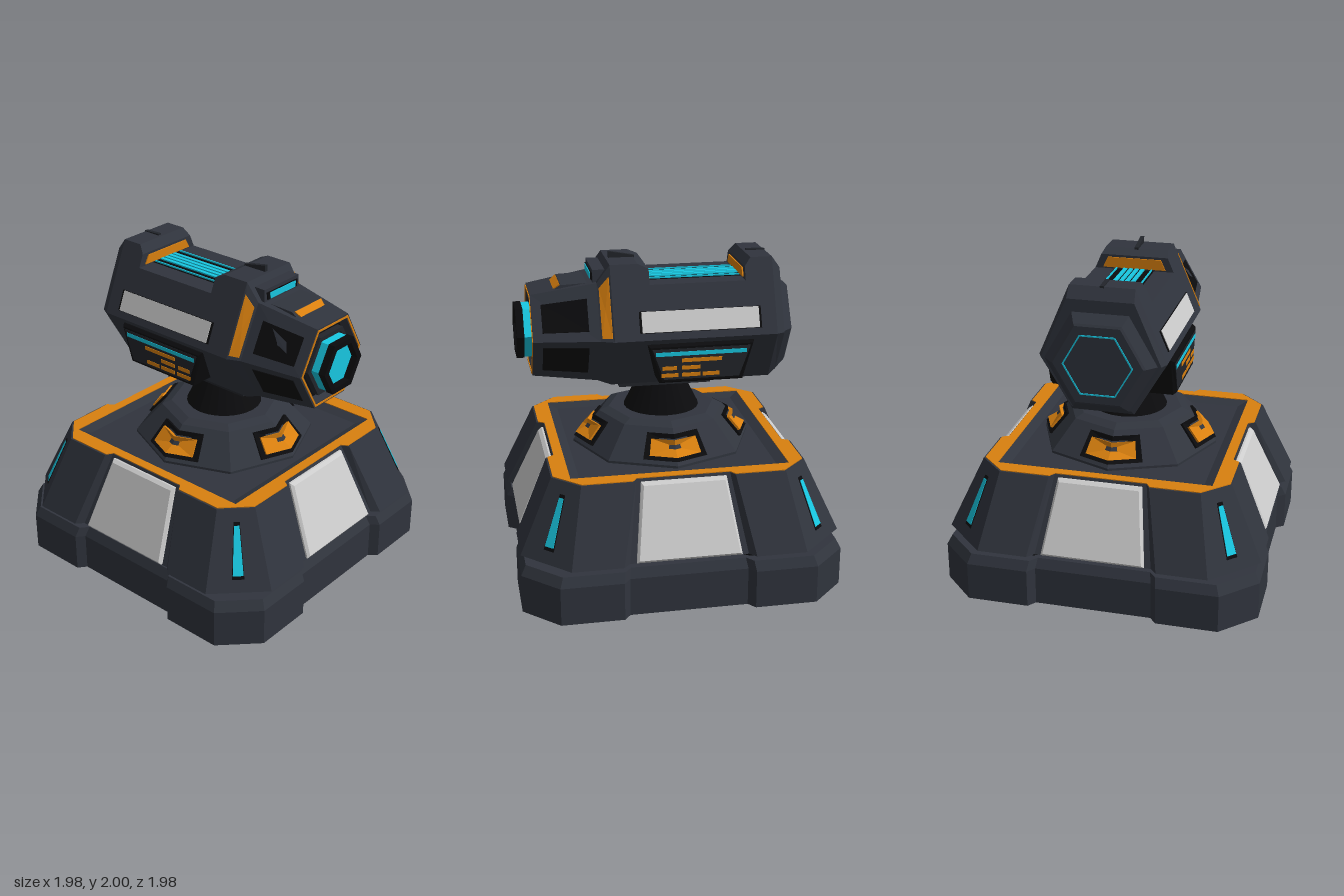
import * as THREE from 'three';

const V = (x, y, z) => new THREE.Vector3(x, y, z);
const mat = (color) => new THREE.MeshStandardMaterial({ color, flatShading: true });
const M = {
  hull: mat(0x30343d), dark: mat(0x22252b), black: mat(0x0b0b0d),
  orange: mat(0xd9800f), cyan: mat(0x18c8e2), grey: mat(0xcccccc),
};

export function createModel() {
  const model = new THREE.Group();
  const base = new THREE.Group(), turret = new THREE.Group();
  base.name = 'base';
  turret.name = 'turret';
  model.add(base, turret);
  let group = base;

  const add = (name, geo, material) => {
    const mesh = new THREE.Mesh(geo, material);
    mesh.name = name;
    group.add(mesh);
    return mesh;
  };

  // Skin a list of equal-length rings, facing outward, with optional end caps
  function loft(name, rings, material, caps = true) {
    const tris = [], n = rings[0].length;
    for (let k = 0; k < rings.length - 1; k++) {
      const a = rings[k], b = rings[k + 1];
      for (let i = 0; i < n; i++) {
        const j = (i + 1) % n;
        tris.push([a[i], a[j], b[j]], [a[i], b[j], b[i]]);
      }
    }
    if (caps) [rings[0], rings[rings.length - 1]].forEach((r, end) => {
      const c = centre(r);
      r.forEach((p, i) => {
        const q = r[(i + 1) % n];
        tris.push(end ? [c, p, q] : [c, q, p]);
      });
    });
    const volume = tris.reduce((s, [a, b, c]) => s + a.dot(b.clone().cross(c)), 0);
    if (volume < 0) tris.forEach((t) => t.reverse());
    const geo = new THREE.BufferGeometry().setFromPoints(tris.flat());
    geo.computeVertexNormals();
    return add(name, geo, material);
  }
  const centre = (r) => r.reduce((s, p) => s.add(p), V(0, 0, 0)).divideScalar(r.length);

  // Flat plate on a surface, raised by t towards the "out" side
  function plate(name, pts, out, material, t = 0.01, sink = 0.01) {
    const n = pts[1].clone().sub(pts[0]).cross(pts[2].clone().sub(pts[0])).normalize();
    if (n.dot(out) < 0) n.negate();
    const shift = (d) => pts.map((p) => p.clone().addScaledVector(n, d));
    return loft(name, [shift(-sink), shift(t)], material);
  }
  // Coloured plate with a black surround
  function framed(name, pts, out, material, grow = 0.02, t = 0.012) {
    const c = centre(pts);
    const big = pts.map((p) => p.clone().add(p.clone().sub(c).normalize().multiplyScalar(grow)));
    plate(name + 'Frame', big, out, M.black, t * 0.6);
    plate(name, pts, out, material, t);
  }
  const box = (name, x, y0, y1, z0, z1, material) =>
    add(name, new THREE.BoxGeometry(2 * x, y1 - y0, z1 - z0), material)
      .position.set(0, (y0 + y1) / 2, (z0 + z1) / 2);
  const spin = (pts, k) => pts.map((p) => p.clone().applyAxisAngle(V(0, 1, 0), k * Math.PI / 2));

  // ---- Base: square outline with cut corners and a notch in each side
  const outline = (y, h, c, w1, w2, r) => [0, 1, 2, 3].flatMap((k) =>
    spin([[-c, h], [-w1, h], [-w2, r], [w2, r], [w1, h], [c, h]].map(([x, z]) => V(x, y, z)), k));
  const square = (y, h) => outline(y, h, h, 0.31, 0.285, h);

  loft('foundation', [
    outline(0, 0.99, 0.78, 0.4, 0.36, 0.94), outline(0.24, 0.99, 0.78, 0.4, 0.36, 0.94),
    outline(0.3, 0.96, 0.76, 0.39, 0.35, 0.91)], M.hull);
  loft('seam', [outline(0.28, 0.89, 0.68, 0.38, 0.34, 0.86), outline(0.36, 0.89, 0.68, 0.38, 0.34, 0.86)], M.black);
  loft('slopedArmour', [
    outline(0.34, 0.985, 0.71, 0.4, 0.36, 0.94), outline(0.79, 0.78, 0.62, 0.31, 0.285, 0.735),
    square(0.79, 0.67), square(0.765, 0.61)], M.hull);
  const rim = (y) => outline(y, 0.77, 0.615, 0.31, 0.285, 0.73);
  loft('deckBorder', [rim(0.78), rim(0.795), square(0.795, 0.67), square(0.78, 0.67), rim(0.78)], M.orange, false);

  const out45 = V(1, 0.6, 1);
  for (let k = 0; k < 4; k++) {
    // Bevelled side panel
    const panel = (x0, x1, y0, y1, d) => spin([[-x0, y0], [x0, y0], [x1, y1], [-x1, y1]]
      .map(([x, y]) => V(x, y, 0.94 - (y - 0.34) * 0.456 + d)), k);
    loft('sidePanel', [panel(0.32, 0.26, 0.345, 0.775, -0.01), panel(0.32, 0.26, 0.345, 0.775, 0.012),
      panel(0.305, 0.247, 0.36, 0.76, 0.028)], M.grey);
    // Tapered corner light
    const light = [[-0.032, 0.43], [0.032, 0.43], [0.016, 0.7], [-0.016, 0.7]].map(([w, y]) => {
      const d = 0.8475 - (y - 0.34) * 0.328;
      return V(d + w * 0.707, y, d - w * 0.707);
    });
    framed('cornerLight', spin(light, k), spin([out45], k)[0], M.cyan, 0.022, 0.008);
  }

  // ---- Eight-sided turntable with folded pads over four of its corners
  const octagon = (y, r) => Array.from({ length: 8 }, (_, i) =>
    V(r * Math.sin(i * Math.PI / 4), y, r * Math.cos(i * Math.PI / 4)));
  loft('turntable', [octagon(0.75, 0.57), octagon(0.78, 0.57), octagon(0.965, 0.4), octagon(0.99, 0.34)], M.hull);
  const foldedPad = (name, k, y0, y1, s, t, material) => {
    const ring = (d) => spin([[-s, y0], [0, y0], [s, y0], [s, y1], [0, y1], [-s, y1]].map(([f, y]) => {
      const r = 0.57 - (y - 0.78) * 0.92 + d;
      return V(f * 0.707 * r, y + d * 0.4, r * (1 - Math.abs(f) * 0.293));
    }), k);
    loft(name, [ring(-0.02), ring(t)], material);
  };
  for (let k = 0; k < 4; k++) {
    foldedPad('padFrame', k, 0.8, 0.935, 0.5, 0.016, M.black);
    foldedPad('pad', k, 0.82, 0.905, 0.41, 0.023, M.orange);
  }
  add('neck', new THREE.CylinderGeometry(0.14, 0.25, 0.22, 24), M.black).position.y = 1.08;

  // ---- Turret body: six-sided sections along z
  group = turret;
  const hex = (z, top, tx, mx, bot, bx) => [V(mx, 1.53, z), V(tx, top, z), V(-tx, top, z),
    V(-mx, 1.53, z), V(-bx, bot, z), V(bx, bot, z)];
  const regular = (z, r) => hex(z, 1.53 + r * 0.866, r / 2, r, 1.53 - r * 0.866, r / 2);
  const body = (z, top) => hex(z, top, 0.385 - (top - 1.53) * 0.43, 0.385, 1.2, 0.19);
  const collar = hex(0.43, 1.85, 0.19, 0.35, 1.23, 0.18), muzzle = regular(0.83, 0.295);
  loft('body', [
    regular(-0.775, 0.27), regular(-0.765, 0.285), regular(-0.705, 0.34),
    hex(-0.705, 1.9, 0.2, 0.36, 1.24, 0.18), body(-0.655, 1.97), body(-0.52, 1.97), body(-0.48, 1.92),
    body(-0.48, 1.84), body(0.115, 1.84), body(0.115, 1.93), body(0.18, 1.96), body(0.35, 1.96), collar], M.hull);
  loft('barrel', [collar, muzzle, regular(0.83, 0.265), regular(0.78, 0.235)], M.hull);
  box('mountPlate', 0.165, 1.17, 1.21, -0.285, 0.295, M.dark);

  // Six-sided rings at the muzzle and on the back
  function hexRing(name, r, hole, z0, z1, material) {
    const pts = (q) => regular(0, q).map((p) => new THREE.Vector2(p.x, p.y));
    const shape = new THREE.Shape(pts(r));
    if (hole) shape.holes.push(new THREE.Path(pts(hole)));
    add(name, new THREE.ExtrudeGeometry(shape, { depth: z1 - z0, bevelEnabled: false }), material).position.z = z0;
  }
  hexRing('muzzleTrim', 0.285, 0.272, 0.82, 0.835, M.orange);
  hexRing('muzzleFloor', 0.25, 0, 0.77, 0.785, M.black);
  hexRing('muzzleGlowBand', 0.174, 0.15, 0.78, 0.89, M.cyan);
  hexRing('muzzleRing', 0.18, 0.14, 0.872, 0.918, M.black);
  hexRing('muzzleSleeve', 0.215, 0.185, 0.78, 0.825, M.dark);
  hexRing('muzzleGlow', 0.142, 0, 0.78, 0.875, M.cyan);
  hexRing('rearTrim', 0.212, 0.202, -0.78, -0.77, M.cyan);

  // Top channel with glowing bars, and orange end plates
  box('channel', 0.125, 1.82, 1.843, -0.478, 0.113, M.black);
  for (const x of [-0.055, -0.018, 0.018, 0.055, -0.112, 0.112]) {
    const w = Math.abs(x) > 0.1 ? 0.004 : 0.012;
    add('channelBar', new THREE.BoxGeometry(2 * w, 0.02, 0.585), M.cyan).position.set(x, 1.842, -0.182);
  }
  for (const [z, dir, top] of [[-0.48, 1, 1.905], [0.115, -1, 1.915]])
    plate('channelEnd', [V(-0.2, 1.85, z), V(0.2, 1.85, z), V(0.17, top, z), V(-0.17, top, z)], V(0, 0, dir), M.orange, 0.008);

  // Sights, front light housing and barrel guard
  const profile = (name, w, zy, material) =>
    plate(name, zy.map(([z, y]) => V(-w, y, z)), V(1, 0, 0), material, 2 * w, 0);
  profile('frontSight', 0.012, [[0.33, 1.93], [0.33, 2], [0.17, 1.97], [0.17, 1.93]], M.dark);
  profile('rearSight', 0.012, [[-0.54, 1.95], [-0.54, 1.98], [-0.66, 1.975], [-0.66, 1.93]], M.dark);
  box('lightHousing', 0.16, 1.8, 1.925, 0.33, 0.45, M.hull);
  framed('frontLight', [V(-0.115, 1.862, 0.45), V(0.115, 1.862, 0.45), V(0.12, 1.9, 0.45), V(-0.12, 1.9, 0.45)],
    V(0, 0, 1), M.cyan, 0.022);
  profile('barrelGuard', 0.14, [[0.4, 1.72], [0.4, 1.845], [0.64, 1.835], [0.69, 1.797], [0.69, 1.72]], M.hull);
  plate('guardStripe', [V(-0.125, 1.833, 0.645), V(0.125, 1.833, 0.645), V(0.11, 1.802, 0.686), V(-0.11, 1.802, 0.686)],
    V(0, 1, 1), M.orange, 0.005);

  // Patch of the face between two sections; u runs from a to b, v from corner i to j
  const patch = (a, b, i, j, u0, u1, v0, v1) => [[u0, v0], [u1, v0], [u1, v1], [u0, v1]].map(([u, v]) =>
    a[i].clone().lerp(a[j], v).lerp(b[i].clone().lerp(b[j], v), u));

  // ---- Parts on both flanks
  for (const s of [1, -1]) {
    const flip = (pts) => pts.map((p) => V(p.x * s, p.y, p.z));
    const up = V(s, 0.4, 0), down = V(s, -0.5, 0), side = V(s, 0, 0);
    framed('flankPanel', flip(patch(body(-0.545, 1.96), body(0.18, 1.96), 0, 1, 0, 1, 0.1, 0.375)), up, M.grey, 0.014, 0.01);
    plate('shoulderStripe', flip(patch(body(0.35, 1.96), collar, 0, 1, 0.12, 0.85, 0.05, 0.87)), V(s, 0.4, 1), M.orange, 0.008);
    plate('upperWindow', flip(patch(collar, muzzle, 0, 1, 0.16, 0.85, 0.18, 0.76)), up, M.black, 0.004);
    plate('lowerWindow', flip(patch(collar, muzzle, 0, 5, 0.16, 0.85, 0.15, 0.8)), down, M.black, 0.004);

    // Display pod
    const pod = (x, g) => flip([[0.15 - g, 1.5 - g], [-0.51 + g, 1.5 - g], [-0.44 + g, 1.255 + g], [0.08 - g, 1.255 + g]]
      .map(([z, y]) => V(x, y, z)));
    loft('pod', [pod(0.2, 0), pod(0.375, 0), pod(0.395, 0.014)], M.black);
    plate('podScreen', pod(0.395, 0.026), side, M.dark, 0.002);
    const dash = (name, z0, z1, y0, y1, material) =>
      plate(name, flip([V(0.397, y0, z0), V(0.397, y0, z1), V(0.397, y1, z1), V(0.397, y1, z0)]), side, material, 0.003);
    dash('podBar', 0.105, -0.46, 1.43, 1.455, M.cyan);
    for (const [z0, z1, y] of [[-0.055, -0.305, 1.388], [0.065, -0.025, 1.341], [-0.055, -0.17, 1.341],
      [0.07, -0.035, 1.296], [-0.055, -0.17, 1.296], [-0.185, -0.29, 1.296]])
      dash('podDash', z0, z1, y, y + 0.024, M.orange);
  }
  return model;
}
